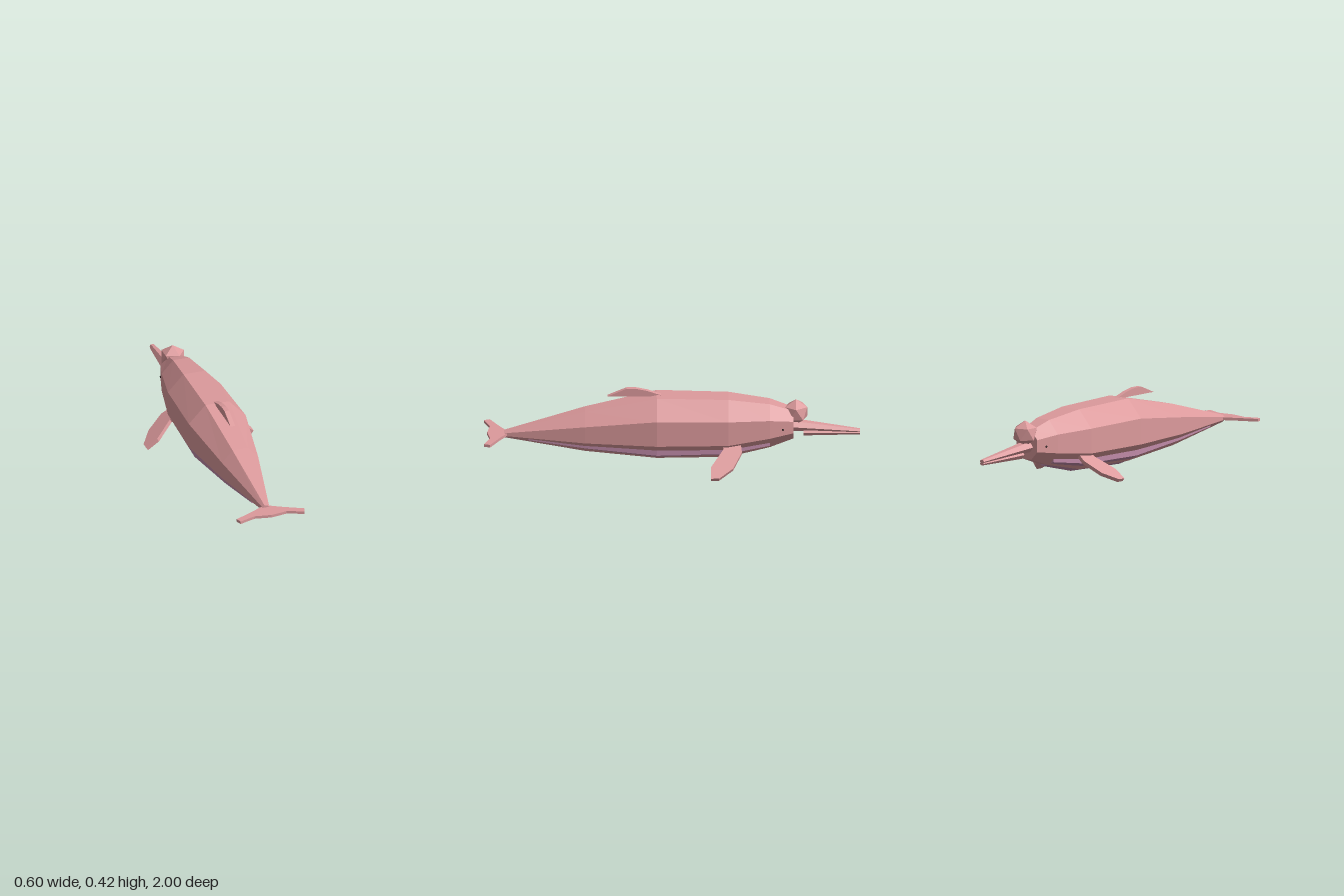
import * as THREE from 'three';

const flat = (name, color) => {
  const m = new THREE.MeshStandardMaterial({ color, flatShading: true });
  m.name = name;
  return m;
};

// Closed loft along z from elliptical sections [z, centreY, radiusX, radiusY]
function loft(sections, sides, offset) {
  const pos = [], index = [];
  for (const [z, cy, rx, ry] of sections) {
    for (let j = 0; j < sides; j++) {
      const a = offset + (j / sides) * Math.PI * 2;
      pos.push(rx * Math.cos(a), cy + ry * Math.sin(a), z);
    }
  }
  const last = (sections.length - 1) * sides;
  for (let i = 0; i < last; i += sides) {
    for (let j = 0; j < sides; j++) {
      const k = (j + 1) % sides;
      index.push(i + j, i + k, i + sides + k, i + j, i + sides + k, i + sides + j);
    }
  }
  // End caps
  for (let j = 1; j < sides - 1; j++) {
    index.push(0, j + 1, j, last, last + j, last + j + 1);
  }
  const g = new THREE.BufferGeometry();
  g.setAttribute('position', new THREE.Float32BufferAttribute(pos, 3));
  g.setIndex(index);
  g.computeVertexNormals();
  return g;
}

// Flat plate from an outline, centred on its own thickness
function plate(points, depth) {
  const shape = new THREE.Shape(points.map(([x, y]) => new THREE.Vector2(x, y)));
  const g = new THREE.ExtrudeGeometry(shape, { depth, bevelEnabled: false });
  return g.translate(0, 0, -depth / 2);
}

export function createModel() {
  const model = new THREE.Group();
  model.name = 'riverDolphin';
  const pink = flat('skinPink', 0xdc9a9c);
  const mauve = flat('bellyMauve', 0xc08aa8);
  const dark = flat('eyeDark', 0x2a1c1c);

  const add = (name, geometry, material, parent = model) => {
    const mesh = new THREE.Mesh(geometry, material);
    mesh.name = name;
    parent.add(mesh);
    return mesh;
  };

  // Eight-sided body, head towards -z
  add('body', loft([
    [-0.645, 0.222, 0.08, 0.085],
    [-0.52, 0.222, 0.118, 0.132],
    [-0.3, 0.213, 0.16, 0.175],
    [0.08, 0.216, 0.172, 0.182],
    [0.46, 0.19, 0.11, 0.12],
    [0.89, 0.163, 0.02, 0.02],
  ], 8, Math.PI / 8), pink);

  // Six-sided belly showing below the body
  add('belly', loft([
    [-0.52, 0.15, 0.09, 0.06],
    [-0.3, 0.142, 0.135, 0.107],
    [0.08, 0.143, 0.147, 0.12],
    [0.46, 0.142, 0.094, 0.068],
    [0.76, 0.153, 0.042, 0.03],
  ], 6, Math.PI / 6), mauve);

  // Forehead bulge with one corner straight up
  const bulge = new THREE.IcosahedronGeometry(0.07, 0);
  bulge.rotateZ(-Math.atan2(1, (1 + Math.sqrt(5)) / 2));
  add('forehead', bulge, pink).position.set(0, 0.285, -0.66);

  // Long thin jaws
  add('upperJaw', loft([
    [-1, 0.177, 0.015, 0.011],
    [-0.64, 0.212, 0.045, 0.032],
  ], 6, 0), pink);
  add('lowerJaw', loft([
    [-1, 0.166, 0.013, 0.01],
    [-0.7, 0.177, 0.034, 0.025],
  ], 6, 0), pink);

  // Low back fin, outline in (z, y)
  const fin = plate([[0.34, 0.378], [0.04, 0.378], [0.13, 0.408], [0.19, 0.42], [0.24, 0.42]], 0.026);
  fin.rotateY(-Math.PI / 2);
  add('backFin', fin, pink);

  // Tail flukes, outline in (x, z)
  const half = [[0.02, 0.875], [0.09, 0.915], [0.19, 0.965], [0.178, 0.997], [0.09, 0.965]];
  const outline = [...half, [0, 0.98], ...half.map(([x, z]) => [-x, z]).reverse()];
  const flukes = plate(outline, 0.015);
  flukes.rotateX(Math.PI / 2);
  add('tailFlukes', flukes, pink).position.y = 0.163;

  // Flippers sloping down and out, outline in (length, z)
  const flipperOutline = [
    [-0.04, -0.26], [-0.04, -0.365], [0.02, -0.372], [0.125, -0.325],
    [0.19, -0.25], [0.19, -0.208], [0.115, -0.208], [0.0, -0.275],
  ];
  for (const side of [1, -1]) {
    const prefix = side > 0 ? 'left' : 'right';
    const flipper = plate(flipperOutline.map(([u, z]) => [u * side, z]), 0.02);
    flipper.rotateX(Math.PI / 2);
    const mesh = add(prefix + 'Flipper', flipper, pink);
    mesh.position.set(0.14 * side, 0.12, 0);
    mesh.rotation.z = -0.61 * side;

    // Tiny eyes
    add(prefix + 'Eye', new THREE.IcosahedronGeometry(0.007, 0), dark)
      .position.set(0.089 * side, 0.215, -0.59);
  }

  return model;
}
